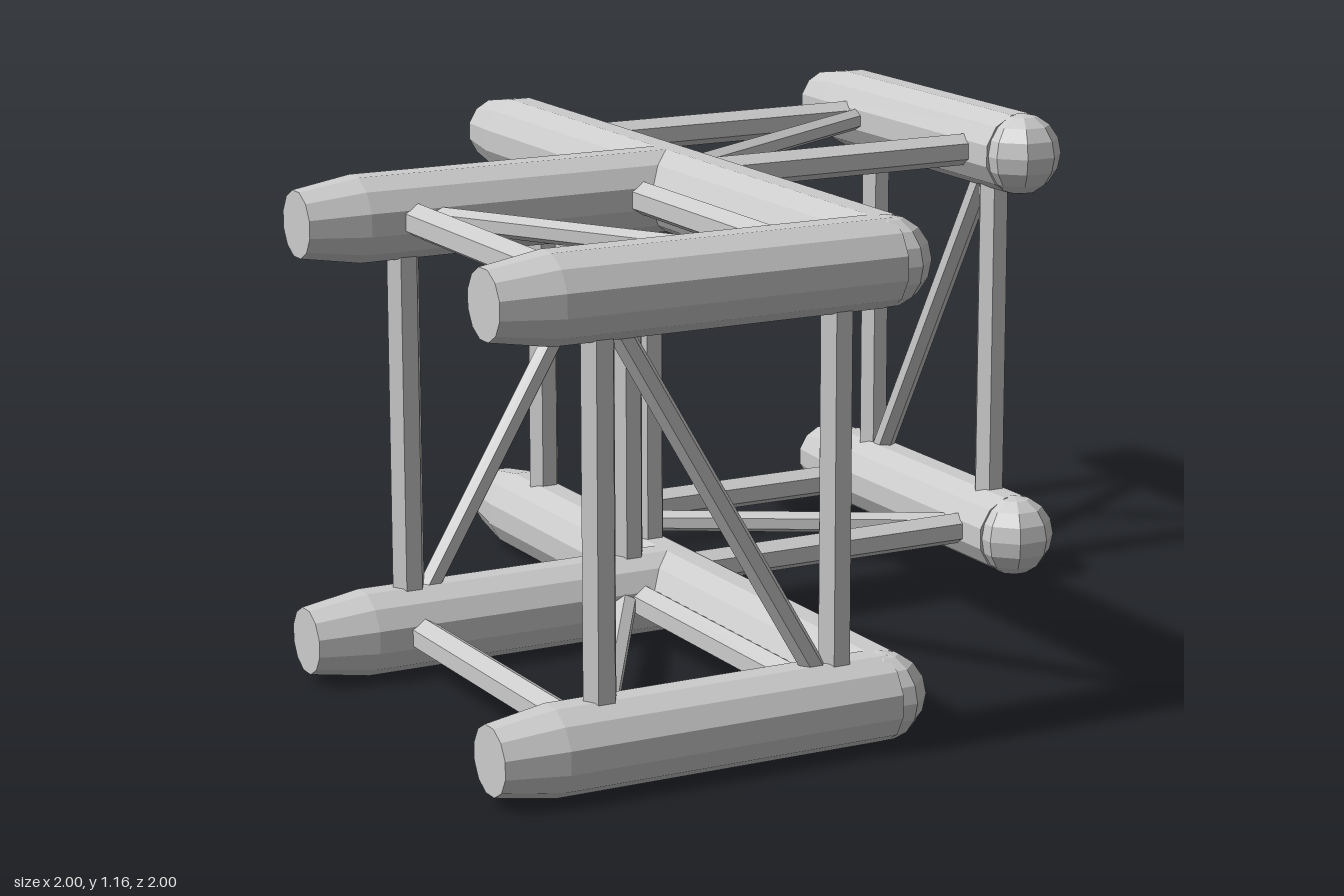
import * as THREE from 'three';

const R = 0.1;                  // chord tube radius
const LOW = 0.1, HIGH = 1.06;   // chord heights
const INNER = -0.063, OUTER = 0.9; // chord lines across each arm
const FAR = -0.745, NEAR = -0.18;  // brace positions along each arm

export function createModel() {
  const model = new THREE.Group();
  const material = new THREE.MeshStandardMaterial({ color: 0xcccccc, flatShading: true });

  function add(name, geometry) {
    const mesh = new THREE.Mesh(geometry, material);
    mesh.name = name;
    model.add(mesh);
    return mesh;
  }

  // Place a shape built along +y so that it starts at a and points to b
  function aim(mesh, a, b) {
    const y = b.clone().sub(a).normalize();
    const ref = Math.abs(y.y) > 0.99 ? new THREE.Vector3(1, 0, 0) : new THREE.Vector3(0, 1, 0);
    const z = ref.addScaledVector(y, -ref.dot(y)).normalize();
    const x = y.clone().cross(z);
    mesh.quaternion.setFromRotationMatrix(new THREE.Matrix4().makeBasis(x, y, z));
    mesh.position.copy(a);
  }

  // Main tube with a tapered free end
  function chord(name, a, b) {
    const len = a.distanceTo(b);
    const profile = [[0, 0], [R, 0], [R, len - 0.14], [0.077, len], [0, len]]
      .map(([r, y]) => new THREE.Vector2(r, y));
    aim(add(name, new THREE.LatheGeometry(profile, 12, Math.PI / 12)), a, b);
  }

  // Six-sided bar between two chords
  function brace(name, a, b, radius) {
    const len = a.distanceTo(b);
    const bar = new THREE.CylinderGeometry(radius, radius, len, 6);
    bar.translate(0, len / 2, 0);
    aim(add(name, bar), a, b);
  }

  // Rounded node at a closed chord end
  function node(position) {
    const ball = new THREE.SphereGeometry(R, 8, 8);
    ball.rotateY(Math.PI / 8);
    add('cornerNode', ball).position.copy(position);
  }

  // Axis helpers: s runs along the arm, c across it
  const arms = [
    { label: 'left', at: (s, y, c) => new THREE.Vector3(s, y, c), s0: FAR, s1: NEAR },
    { label: 'back', at: (s, y, c) => new THREE.Vector3(c, y, s), s0: NEAR, s1: FAR },
  ];

  // Chords and nodes, lower and upper
  for (const y of [LOW, HIGH]) {
    const v = (x, z) => new THREE.Vector3(x, y, z);
    chord('longChord', v(INNER, OUTER), v(INNER, -1));
    chord('outerChord', v(OUTER, INNER), v(OUTER, -1));
    chord('frontChord', v(INNER, OUTER), v(-1, OUTER));
    chord('middleChord', v(INNER, INNER), v(-1, INNER));
    node(v(INNER, OUTER));
    node(v(OUTER, INNER));
  }

  // Bracing of both arms: straight rungs plus one diagonal per face
  for (const { label, at, s0, s1 } of arms) {
    for (const s of [s0, s1]) {
      for (const y of [LOW, HIGH]) brace(label + 'Rung', at(s, y, INNER), at(s, y, OUTER), 0.039);
      for (const c of [INNER, OUTER]) brace(label + 'Post', at(s, LOW, c), at(s, HIGH, c), 0.039);
    }
    brace(label + 'TopDiagonal', at(s0, HIGH, INNER), at(s1, HIGH, OUTER), 0.027);
    brace(label + 'BottomDiagonal', at(s1, LOW, INNER), at(s0, LOW, OUTER), 0.027);
    brace(label + 'OuterDiagonal', at(s0, HIGH, OUTER), at(s1, LOW, OUTER), 0.027);
    brace(label + 'InnerDiagonal', at(s1, HIGH, INNER), at(s0, LOW, INNER), 0.027);
  }

  return model;
}
